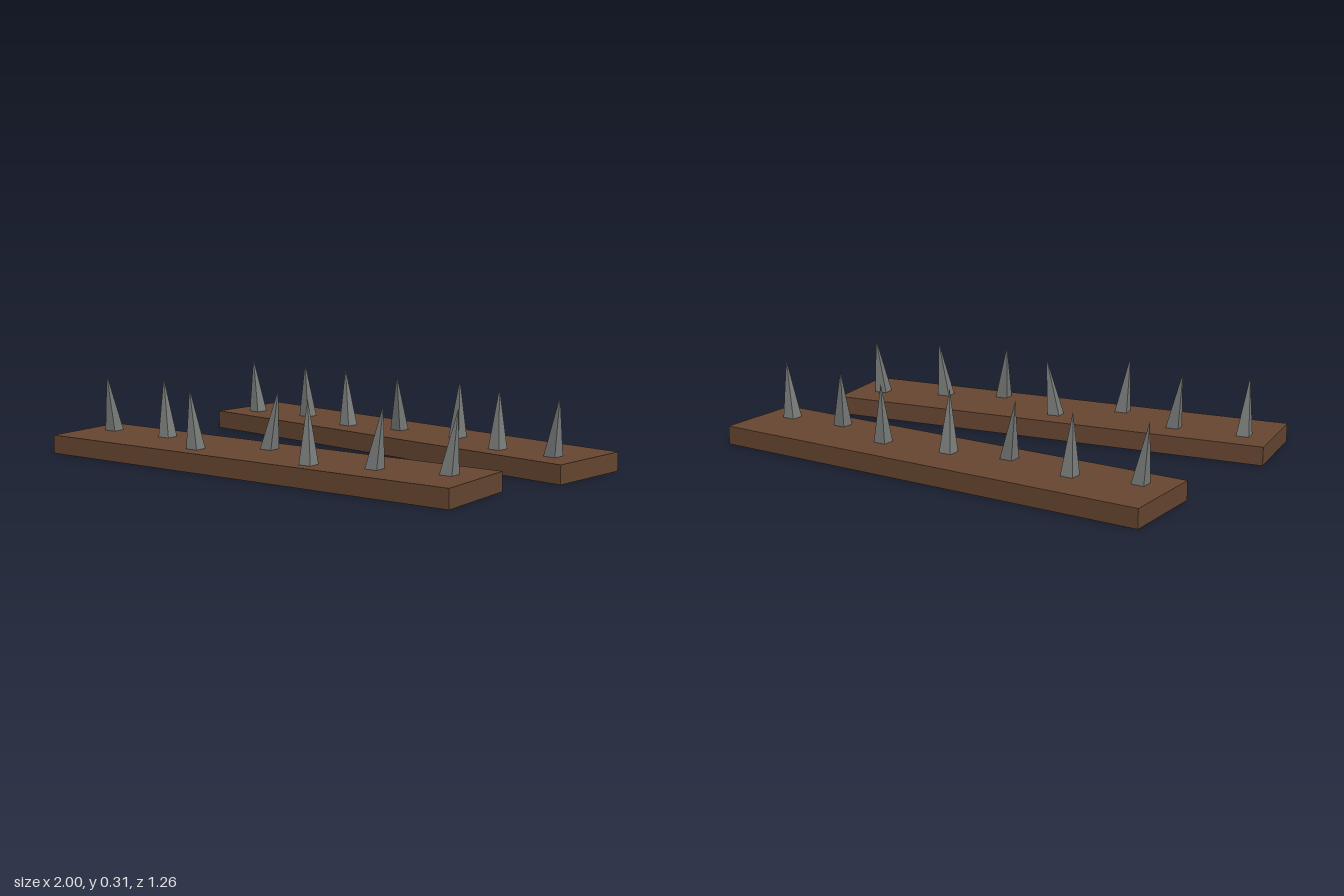
import * as THREE from 'three';

const PLANK_TOP = 0.075;
const TIP_HEIGHT = 0.31;

// Four-sided spike whose tip leans away from the centre of its base
function makeSpike([bx, bz, tx, tz], turn, material) {
  const h = TIP_HEIGHT - PLANK_TOP;
  let geo = new THREE.ConeGeometry(0.037, h, 4, 1, false, Math.PI / 4);
  geo.rotateY(turn);
  geo.translate(0, h / 2, 0);
  const p = geo.attributes.position;
  for (let i = 0; i < p.count; i++) {
    const t = p.getY(i) / h;
    p.setX(i, p.getX(i) + (tx - bx) * t);
    p.setZ(i, p.getZ(i) + (tz - bz) * t);
  }
  geo = geo.toNonIndexed();
  geo.computeVertexNormals();
  const spike = new THREE.Mesh(geo, material);
  spike.name = 'spike';
  spike.position.set(bx, PLANK_TOP, bz);
  return spike;
}

export function createModel() {
  const wood = new THREE.MeshStandardMaterial({ color: 0x654530, flatShading: true });
  wood.name = 'brown wood';
  const metal = new THREE.MeshStandardMaterial({ color: 0x777b78, flatShading: true });
  metal.name = 'grey metal';

  // Each spike: base x, base z, tip x, tip z
  const boards = [
    {
      name: 'backBoard', x: 0.049, z: -0.369, turn: -0.0865,
      spikes: [
        [-0.763, -0.377, -0.795, -0.383],
        [-0.5, -0.411, -0.5, -0.392],
        [-0.208, -0.329, -0.25, -0.362],
        [0.034, -0.366, 0.057, -0.315],
        [0.327, -0.366, 0.325, -0.38],
        [0.602, -0.238, 0.582, -0.275],
        [0.85, -0.238, 0.885, -0.22],
      ],
    },
    {
      name: 'frontBoard', x: -0.055, z: 0.38, turn: 0.0697,
      spikes: [
        [-0.877, 0.386, -0.882, 0.418],
        [-0.588, 0.364, -0.63, 0.34],
        [-0.308, 0.49, -0.338, 0.49],
        [-0.082, 0.316, -0.04, 0.311],
        [0.243, 0.468, 0.207, 0.43],
        [0.48, 0.381, 0.51, 0.37],
        [0.751, 0.301, 0.775, 0.285],
      ],
    },
  ];

  const model = new THREE.Group();
  model.name = 'spikedBoards';
  for (const b of boards) {
    const board = new THREE.Group();
    board.name = b.name;

    // Plank lying flat on the ground
    const plank = new THREE.Mesh(new THREE.BoxGeometry(1.868, PLANK_TOP, 0.371), wood);
    plank.name = 'plank';
    plank.position.set(b.x, PLANK_TOP / 2, b.z);
    plank.rotation.y = b.turn;
    board.add(plank);

    for (const s of b.spikes) board.add(makeSpike(s, b.turn, metal));
    model.add(board);
  }
  return model;
}
